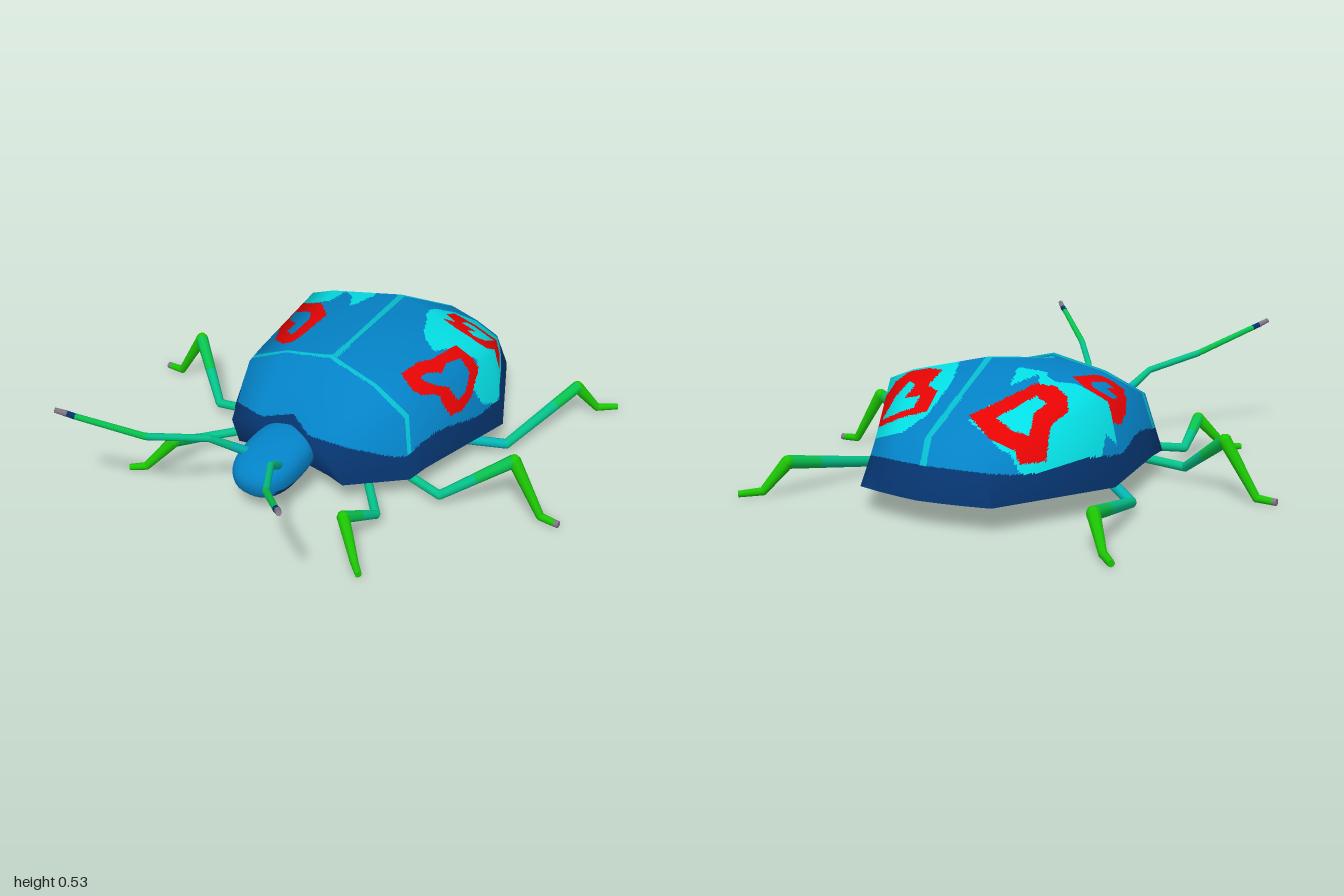
import * as THREE from 'three';

const mat = (name, color) => {
  const m = new THREE.MeshStandardMaterial({ color });
  m.name = name;
  return m;
};

// Point-in-polygon test on flat [x, z, x, z, ...] outlines
function inside(poly, x, z) {
  let hit = false;
  const n = poly.length / 2;
  for (let i = 0, j = n - 1; i < n; j = i++) {
    const [xi, zi, xj, zj] = [poly[2 * i], poly[2 * i + 1], poly[2 * j], poly[2 * j + 1]];
    if ((zi > z) !== (zj > z) && x < ((xj - xi) * (z - zi)) / (zj - zi) + xi) hit = !hit;
  }
  return hit;
}

// Sort the triangles of an indexed geometry into colour groups by a rule
function paint(geo, count, rule) {
  const lists = Array.from({ length: count }, () => []);
  const idx = geo.index.array, p = geo.attributes.position;
  for (let t = 0; t < idx.length; t += 3) {
    const tri = [idx[t], idx[t + 1], idx[t + 2]];
    const mean = (get) => tri.reduce((s, k) => s + p[get](k), 0) / 3;
    lists[rule(mean('getX'), mean('getY'), mean('getZ'))].push(...tri);
  }
  geo.setIndex(lists.flat());
  geo.clearGroups();
  let start = 0;
  lists.forEach((l, k) => { geo.addGroup(start, l.length, k); start += l.length; });
  return geo;
}

// Half cross-sections of the shell: base, shoulder, upper, ridge
const SECTIONS = [
  [[-0.285, 0.10, 0.24], [-0.27, 0.10, 0.18], [-0.26, 0.10, 0.09], [-0.25, 0.10, 0]],
  [[-0.29, 0.10, 0.26], [-0.35, 0.24, 0.24], [-0.32, 0.28, 0.13], [-0.28, 0.30, 0]],
  [[-0.10, 0.10, 0.445], [-0.07, 0.33, 0.38], [-0.04, 0.41, 0.22], [-0.015, 0.465, 0]],
  [[0.00, 0.10, 0.45], [0.00, 0.345, 0.39], [0.00, 0.41, 0.22], [0.005, 0.45, 0]],
  [[0.46, 0.10, 0.525], [0.46, 0.40, 0.46], [0.46, 0.445, 0.35], [0.47, 0.53, 0]],
  [[0.90, 0.10, 0.28], [0.85, 0.25, 0.25], [0.86, 0.285, 0.14], [0.87, 0.31, 0]],
  [[0.905, 0.10, 0.27], [0.925, 0.10, 0.18], [0.94, 0.10, 0.09], [0.95, 0.10, 0]],
];

function grid(rows, cols, point) {
  const pos = [], idx = [];
  for (let i = 0; i < rows; i++) for (let j = 0; j < cols; j++) pos.push(...point(i, j));
  for (let i = 0; i < rows - 1; i++) {
    for (let j = 0; j < cols - 1; j++) {
      const a = i * cols + j, b = a + cols;
      idx.push(a, b, b + 1, a, b + 1, a + 1);
    }
  }
  const g = new THREE.BufferGeometry();
  g.setAttribute('position', new THREE.Float32BufferAttribute(pos, 3));
  g.setIndex(idx);
  g.computeVertexNormals();
  return g;
}

// Shell: coarse loft, subdivided finely so that markings can be painted on it
function shellGeometry() {
  const full = SECTIONS.map((s) => [...s, ...s.slice(0, 3).reverse().map(([x, y, z]) => [x, y, -z])]);
  const coarse = grid(7, 7, (i, j) => full[i][j]);
  const U = 42, V = 25, rows = 6 * U + 1, cols = 6 * V + 1;
  const sample = (attr, i, j) => {
    const a = Math.min(5, Math.floor(i / U)), b = Math.min(5, Math.floor(j / V));
    const u = i / U - a, v = j / V - b;
    const at = (r, c) => new THREE.Vector3().fromBufferAttribute(attr, r * 7 + c);
    return at(a, b).lerp(at(a + 1, b), u).lerp(at(a, b + 1).lerp(at(a + 1, b + 1), u), v);
  };
  const fine = grid(rows, cols, (i, j) => sample(coarse.attributes.position, i, j).toArray());
  const normal = fine.attributes.normal;
  for (let i = 0; i < rows; i++) {
    for (let j = 0; j < cols; j++) {
      const n = sample(coarse.attributes.normal, i, j).normalize();
      normal.setXYZ(i * cols + j, n.x, n.y, n.z);
    }
  }
  return fine;
}

// Heart rings (outline, hole); the front pair is unfolded down the side walls
const HEARTS = [
  [[0.07, 0.33, 0.10, 0.255, 0.20, 0.27, 0.25, 0.30, 0.38, 0.325, 0.385, 0.40, 0.36, 0.46, 0.31, 0.55, 0.25, 0.59, 0.18, 0.575, 0.15, 0.50, 0.14, 0.44, 0.08, 0.38],
    [0.14, 0.32, 0.18, 0.32, 0.23, 0.365, 0.28, 0.35, 0.345, 0.375, 0.32, 0.43, 0.28, 0.51, 0.23, 0.53, 0.20, 0.45, 0.15, 0.36]],
  [[0.73, 0.10, 0.765, 0.35, 0.70, 0.385, 0.50, 0.405, 0.47, 0.37, 0.47, 0.27, 0.50, 0.19, 0.58, 0.20, 0.62, 0.13],
    [0.70, 0.18, 0.72, 0.31, 0.60, 0.335, 0.53, 0.32, 0.56, 0.27, 0.63, 0.27, 0.63, 0.20]],
  [[0.05, -0.25, 0.045, -0.30, 0.08, -0.38, 0.15, -0.41, 0.20, -0.50, 0.28, -0.55, 0.36, -0.53, 0.37, -0.44, 0.36, -0.34, 0.27, -0.24, 0.10, -0.24],
    [0.11, -0.30, 0.14, -0.35, 0.20, -0.35, 0.24, -0.42, 0.30, -0.43, 0.29, -0.34, 0.23, -0.30]],
  [[0.48, -0.29, 0.50, -0.35, 0.55, -0.38, 0.62, -0.355, 0.70, -0.37, 0.77, -0.31, 0.785, -0.20, 0.73, -0.08, 0.65, -0.13, 0.50, -0.22],
    [0.55, -0.25, 0.56, -0.30, 0.62, -0.28, 0.70, -0.31, 0.715, -0.25, 0.70, -0.17]],
];
// Pale patches, seen from above
const PATCHES = [
  [0.29, 0.28, 0.34, 0.20, 0.45, 0.14, 0.58, 0.09, 0.75, 0.085, 0.83, 0.14, 0.82, 0.28, 0.72, 0.40, 0.62, 0.44, 0.52, 0.49, 0.44, 0.50, 0.36, 0.48, 0.315, 0.45, 0.39, 0.43, 0.38, 0.34],
  [0.36, -0.48, 0.50, -0.485, 0.62, -0.44, 0.75, -0.38, 0.80, -0.26, 0.75, -0.09, 0.66, -0.12, 0.52, -0.24, 0.46, -0.21, 0.55, -0.14, 0.45, -0.12, 0.35, -0.18, 0.42, -0.22, 0.46, -0.28, 0.37, -0.31],
];

// 0 blue, 1 navy, 2 pale cyan, 3 red, 4 seam
function shellColour(x, y, z) {
  const rim = 0.205 + 0.012 * Math.sin(x * 15) + 0.35 * Math.max(0, -0.12 - x);
  const collar = x < -0.24 && y < 0.312 - 0.25 * Math.abs(z);
  if (y < rim || collar) return 1;
  const s = x < 0.42 ? z + Math.sign(z) * Math.max(0, 0.38 - y) : z;
  if (y > 0.228 && HEARTS.some(([out, hole]) => inside(out, x, s) && !inside(hole, x, s))) return 3;
  if (Math.abs(x + 0.018 + (0.46 - y) * 0.2) < 0.011) return 4;
  if (x > 0 && Math.abs(z) < 0.013) return 4;
  return PATCHES.some((p) => inside(p, x, z)) ? 2 : 0;
}

export function createModel() {
  const blue = mat('shell blue', 0x0482c6), navy = mat('rim navy', 0x06346e);
  const cyan = mat('patch cyan', 0x04dfe4), red = mat('heart red', 0xf20404);
  const seam = mat('seam cyan', 0x06bccc), aqua = mat('limb aqua', 0x04b8b8);
  const jade = mat('limb jade', 0x04c48c), leaf = mat('limb leaf', 0x08c650);
  const green = mat('foot green', 0x1cc804), grey = mat('tip grey', 0x85788a);

  const model = new THREE.Group();
  model.name = 'beetle';
  const add = (name, geo, material, parent = model) => {
    const m = new THREE.Mesh(geo, material);
    m.name = name;
    parent.add(m);
    return m;
  };

  add('shell', paint(shellGeometry(), 5, shellColour), [blue, navy, cyan, red, seam]);

  // Flat belly
  const half = [...SECTIONS[0].slice().reverse(), ...SECTIONS.slice(1, 6).map((s) => s[0]), ...SECTIONS[6]];
  const outline = [...half.map(([x, , z]) => [x, z]), ...half.slice(1, -1).reverse().map(([x, , z]) => [x, -z])];
  const belly = new THREE.ShapeGeometry(new THREE.Shape(outline.map(([x, z]) => new THREE.Vector2(x, z))));
  add('belly', belly.rotateX(Math.PI / 2).translate(0, 0.1, 0), blue);

  // Head: slightly boxy ellipsoid, tipped down at the front, dark under the neck
  const head = new THREE.SphereGeometry(1, 40, 28);
  const hp = head.attributes.position;
  const boxy = (v) => Math.sign(v) * Math.abs(v) ** 0.8;
  for (let i = 0; i < hp.count; i++) {
    hp.setXYZ(i, boxy(hp.getX(i)) * 0.185, boxy(hp.getY(i)) * 0.085, boxy(hp.getZ(i)) * 0.13);
  }
  head.rotateZ(0.25).translate(-0.38, 0.17, 0);
  head.computeVertexNormals();
  add('head', paint(head, 2, (x, y) => (y < 0.125 && x > -0.5 ? 1 : 0)), [blue, navy]);

  // Jointed limbs: tapered segments, each split evenly among its colours
  function limb(name, pts, radii, colours, side) {
    const g = new THREE.Group();
    g.name = name;
    const p = pts.map(([x, y, z]) => new THREE.Vector3(x, y, z * side));
    colours.forEach((list, i) => {
      const step = p[i + 1].clone().sub(p[i]).divideScalar(list.length);
      const radius = (k) => THREE.MathUtils.lerp(radii[i], radii[i + 1], k / list.length);
      const turn = new THREE.Quaternion().setFromUnitVectors(new THREE.Vector3(0, 1, 0), step.clone().normalize());
      list.forEach((m, k) => {
        const seg = add('segment', new THREE.CylinderGeometry(radius(k + 1), radius(k), step.length(), 8), m, g);
        seg.position.copy(p[i]).addScaledVector(step, k + 0.5);
        seg.quaternion.copy(turn);
      });
      if (i) add('joint', new THREE.SphereGeometry(radii[i], 8, 6), list[0], g).position.copy(p[i]);
    });
    model.add(g);
  }
  const thigh = [aqua, jade], shin = [jade, leaf], foot = [green];
  for (const side of [1, -1]) {
    const s = side > 0 ? 'left' : 'right';
    limb(s + 'FrontLeg', [[-0.08, 0.10, 0.20], [-0.32, 0.06, 0.44], [-0.50, 0.145, 0.42], [-0.565, 0.02, 0.52], [-0.61, 0.018, 0.57]],
      [0.018, 0.018, 0.025, 0.016, 0.013], [thigh, shin, foot, foot], side);
    limb(s + 'MiddleLeg', [[-0.03, 0.09, 0.25], [-0.065, 0.055, 0.56], [0.09, 0.225, 0.79], [0.09, 0.022, 0.92], [0.09, 0.018, 0.985], [0.09, 0.018, 1.0]],
      [0.018, 0.018, 0.026, 0.016, 0.014, 0.014], [thigh, shin, foot, foot, [grey]], side);
    limb(s + 'HindLeg', [[0.18, 0.10, 0.27], [0.42, 0.04, 0.57], [0.86, 0.13, 0.65], [0.925, 0.022, 0.72], [0.99, 0.018, 0.785]],
      [0.02, 0.02, 0.026, 0.016, 0.013], [[aqua], [jade, jade, leaf], foot, foot], side);
    limb(s + 'Antenna', [[-0.44, 0.20, 0.07], [-0.585, 0.31, 0.15], [-0.78, 0.365, 0.29], [-0.95, 0.47, 0.475], [-0.967, 0.482, 0.497], [-0.995, 0.50, 0.525]],
      [0.02, 0.014, 0.014, 0.012, 0.012, 0.01], [thigh, [jade], [leaf], [navy], [grey]], side);
  }
  return model;
}
